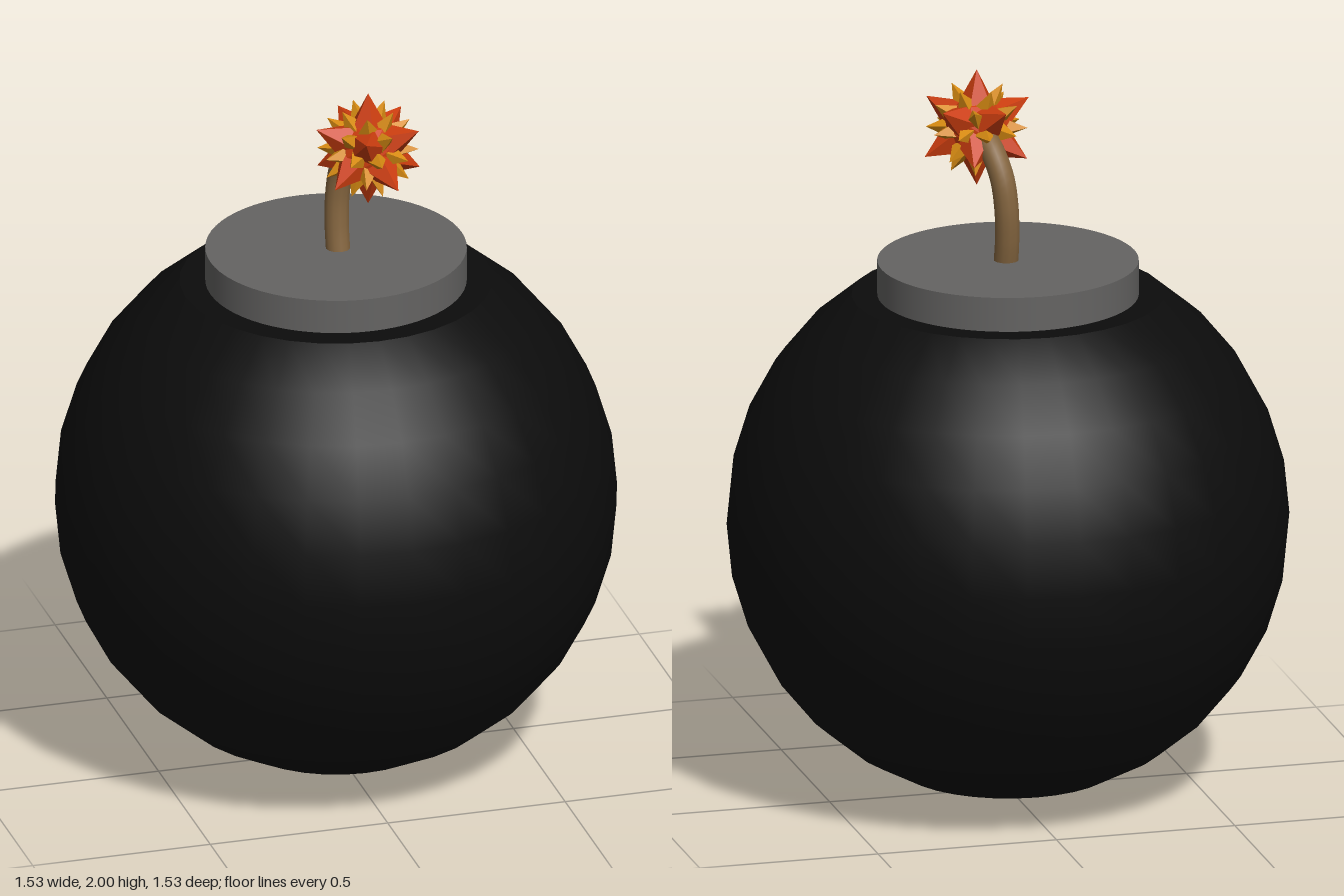
import * as THREE from 'three';
import { mergeGeometries } from 'three/addons/utils/BufferGeometryUtils.js';

const paint = (name, color, flatShading = false) => {
  const m = new THREE.MeshStandardMaterial({ color, flatShading });
  m.name = name;
  return m;
};

// Pyramids pointing outwards along each direction, merged into one geometry
function spikes(directions, sides, baseRadius, inner, outer) {
  const up = new THREE.Vector3(0, 1, 0);
  return mergeGeometries(directions.map((d) => {
    const g = new THREE.ConeGeometry(baseRadius, outer - inner, sides, 1, true);
    g.translate(0, (inner + outer) / 2, 0);
    return g.applyQuaternion(new THREE.Quaternion().setFromUnitVectors(up, d));
  }));
}

export function createModel() {
  const group = new THREE.Group();
  const black = paint('black', 0x0c0c0c);
  const grey = paint('grey', 0x646362);
  const brown = paint('brown', 0x84653f);
  const red = paint('red', 0xcb3d0f, true);
  const orange = paint('orange', 0xd68a12, true);

  const add = (name, geometry, material, parent = group) => {
    const mesh = new THREE.Mesh(geometry, material);
    mesh.name = name;
    parent.add(mesh);
    return mesh;
  };

  // Round body with its top three rings cut off, closed by a flat disc
  const R = 0.763, cy = 0.765, cut = Math.PI * 3 / 16;
  add('body', new THREE.SphereGeometry(R, 32, 13, 0, Math.PI * 2, cut, Math.PI - cut), black)
    .position.y = cy;
  const shoulder = add('shoulder', new THREE.CircleGeometry(R * Math.sin(cut), 32), black);
  shoulder.rotation.x = -Math.PI / 2;
  shoulder.position.y = cy + R * Math.cos(cut);

  // Neck cap
  add('neck', new THREE.CylinderGeometry(0.354, 0.354, 0.105, 64), grey).position.y = 1.4425;

  // Fuse bending forwards into the spark
  const path = new THREE.CatmullRomCurve3([
    [0.005, 1.47, 0.007], [0.005, 1.56, -0.01], [0.009, 1.65, -0.016],
    [0.018, 1.73, -0.004], [0.036, 1.80, 0.04], [0.053, 1.84, 0.12],
  ].map((p) => new THREE.Vector3(...p)));
  add('fuse', new THREE.TubeGeometry(path, 24, 0.034, 12), brown);

  // Spark: long spikes at icosahedron corners, short ones at its edge middles
  const spark = new THREE.Group();
  spark.name = 'spark';
  spark.position.set(0.053, 1.837, 0.128);
  group.add(spark);

  const corners = [new THREE.Vector3(0, 1, 0), new THREE.Vector3(0, -1, 0)];
  for (let i = 0; i < 5; i++) {
    const a = i * Math.PI * 2 / 5;
    const x = Math.cos(a) * 0.8944, z = Math.sin(a) * 0.8944;
    corners.push(new THREE.Vector3(-x, 0.4472, z), new THREE.Vector3(x, -0.4472, z));
  }
  const middles = [];
  corners.forEach((a, i) => corners.slice(i + 1).forEach((b) => {
    if (a.distanceTo(b) < 1.2) middles.push(a.clone().add(b).normalize());
  }));

  add('sparkCore', new THREE.IcosahedronGeometry(0.088, 1), red, spark);
  add('longSpikes', spikes(corners, 5, 0.05, 0.07, 0.163), red, spark);
  add('shortSpikes', spikes(middles, 4, 0.029, 0.076, 0.138), orange, spark);
  return group;
}
